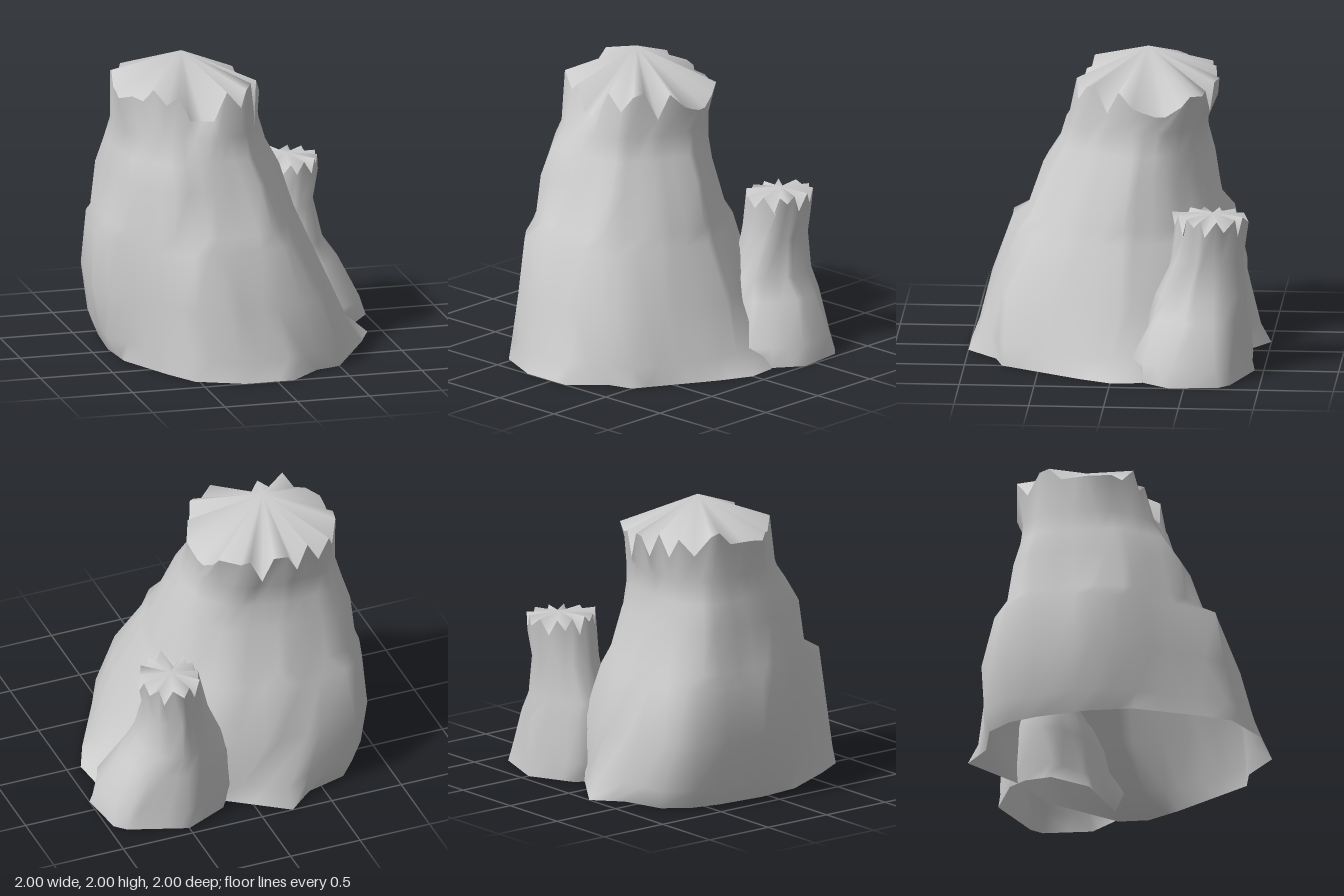
import * as THREE from 'three';

const stone = new THREE.MeshStandardMaterial({ color: 0xcccccc, side: THREE.DoubleSide });
stone.name = 'stone grey';

// Tall rock outlines seen from above, as x, z corners from +x round through +z
const base = [.9, 0, .8, .22, .5, .75, .33, .8, .12, 1, -.22, 1, -.53, .86, -.66, .64, -.85, .25, -.88, -.05,
  -.85, -.4, -.8, -.6, -.68, -.76, -.4, -.84, -.22, -1, .15, -.74, .5, -.6, .88, -.2];
const skirt = [.75, 0, .71, .25, .49, .74, .32, .79, .1, .93, -.24, .95, -.53, .83, -.68, .58, -.93, .1, -.92, -.3,
  -.87, -.6, -.73, -.79, -.4, -.84, -.22, -.93, .12, -.74, .48, -.58, .73, -.2];
const belly = [.61, -.05, .53, .35, .36, .73, .05, .82, -.3, .87, -.5, .8, -.85, .3, -1, .01, -.95, -.4,
  -.91, -.62, -.75, -.8, -.4, -.82, -.1, -.83, .2, -.7, .48, -.45];
const shoulder = [.44, -.05, .35, .3, .14, .66, -.3, .73, -.5, .74, -.62, .6, -.88, .2, -.98, -.05, -.94, -.4,
  -.88, -.6, -.71, -.72, -.3, -.74, .1, -.64, .34, -.38];
const waist = [.4, -.05, .31, .28, .08, .6, -.3, .63, -.58, .55, -.83, .25, -.9, .03, -.9, -.42, -.77, -.62,
  -.33, -.69, .06, -.6, .3, -.36];
const chest = [.31, -.08, .2, .22, .03, .46, -.3, .53, -.57, .51, -.8, .21, -.86, -.05, -.86, -.44, -.71, -.59,
  -.33, -.61, .03, -.52, .23, -.32];
const bust = [.22, -.1, .12, .16, -.02, .36, -.3, .42, -.57, .4, -.77, .16, -.81, -.08, -.81, -.41, -.67, -.55,
  -.33, -.57, .02, -.49, .16, -.32];
const neck = [.175, -.1, .08, .14, -.05, .32, -.3, .375, -.59, .29, -.75, .08, -.79, -.12, -.77, -.39, -.63, -.54,
  -.33, -.57, .02, -.49, .14, -.32];
const crown = [.18, -.1, .05, .16, -.05, .28, -.245, .31, -.635, .21, -.82, 0, -.8, -.15, -.77, -.4, -.65, -.58,
  -.33, -.645, -.03, -.55, .1, -.48, .15, -.32];

// Small rock outlines
const smallBase = [1, -.4, .87, -.22, .72, -.19, .3, -.28, .1, -.5, .12, -.68, .2, -.8, .5, -.94, .89, -.8, .96, -.73];
const smallSkirt = [.96, -.42, .87, -.22, .73, -.13, .38, -.3, .14, -.5, .1, -.69, .16, -.79, .5, -.93, .86, -.78, .94, -.7];
const smallBelly = [.83, -.5, .7, -.3, .58, -.24, .36, -.34, .18, -.5, .12, -.68, .17, -.78, .5, -.91, .72, -.82, .81, -.68];
const smallWaist = [.74, -.55, .66, -.36, .54, -.28, .36, -.38, .21, -.52, .16, -.68, .23, -.78, .52, -.89, .66, -.81, .73, -.68];
const smallNeck = [.69, -.6, .64, -.45, .5, -.38, .36, -.45, .27, -.58, .27, -.7, .35, -.8, .52, -.865, .65, -.79];
const smallCrown = [.73, -.62, .66, -.47, .48, -.385, .36, -.5, .325, -.64, .37, -.8, .52, -.9, .67, -.82, .73, -.7];

// Sample an outline at n equal angles about its middle, keeping its corners
function ring(outline, n) {
  const corners = [];
  for (let i = 0; i < outline.length; i += 2) corners.push(new THREE.Vector2(outline[i], outline[i + 1]));
  const mid = new THREE.Box2().setFromPoints(corners).getCenter(new THREE.Vector2());
  const rel = corners.map(c => c.clone().sub(mid));
  const pts = [];
  for (let i = 0; i < n; i++) {
    const a = (i / n) * Math.PI * 2;
    const dir = new THREE.Vector2(Math.cos(a), Math.sin(a));
    let reach = 0;
    rel.forEach((p, k) => {
      const q = rel[(k + 1) % rel.length], edge = q.clone().sub(p);
      const s = -dir.cross(p) / dir.cross(edge);
      if (s >= 0 && s <= 1) reach = Math.max(reach, p.clone().addScaledVector(edge, s).dot(dir));
    });
    pts.push(dir.multiplyScalar(reach).add(mid));
  }
  for (const c of corners) {
    pts.reduce((best, p) => p.distanceTo(c) < best.distanceTo(c) ? p : best).copy(c);
  }
  return pts;
}

function surface(points, index) {
  const g = new THREE.BufferGeometry().setFromPoints(points);
  g.setIndex(index);
  g.computeVertexNormals();
  return g;
}

// A rock column: smooth wall through the levels, jagged rim, pleated cap
function column(name, levels, rim, apex) {
  const n = rim.length, last = levels.length - 1;
  const points = [], index = [];
  levels.forEach(([y, outline], j) => ring(outline, n).forEach((p, i) => {
    points.push(new THREE.Vector3(p.x, j === last ? rim[i] : y, p.y));
    if (j === last) return;
    const a = j * n + i, b = j * n + (i + 1) % n;
    index.push(a, a + n, b, b, a + n, b + n);
  }));
  const wall = new THREE.Mesh(surface(points, index), stone);
  wall.name = name + 'Wall';

  // Cap fan from the apex down to every rim tooth
  const fan = [...points.slice(-n), new THREE.Vector3(...apex)];
  const fanIndex = rim.flatMap((_, i) => [n, (i + 1) % n, i]);
  const cap = new THREE.Mesh(surface(fan, fanIndex), stone);
  cap.name = name + 'Cap';

  const group = new THREE.Group();
  group.name = name;
  group.add(wall, cap);
  return group;
}

export function createModel() {
  const model = new THREE.Group();
  model.name = 'rockFormation';

  // Levels: height and outline; the last height comes from the rim
  const tall = [[0, base], [.13, skirt], [.45, belly], [.82, shoulder], [.91, waist],
    [1.2, chest], [1.37, bust], [1.52, neck], [1.75, crown]];
  const tallRim = [
    1.67, 1.7, 1.8, 1.63, 1.83, 1.8, 1.7, 1.82, 1.63, 1.63, 1.63, 1.8,
    1.74, 1.85, 1.76, 1.78, 1.75, 1.76, 1.76, 1.76, 1.85, 1.83, 1.7, 1.82,
    1.68, 1.83, 1.66, 1.79, 1.78, 1.6, 1.76, 1.74, 1.77, 1.7, 1.64, 1.64,
  ];
  model.add(column('tallRock', tall, tallRim, [-.34, 2, -.17]));

  const small = [[0, smallBase], [.13, smallSkirt], [.4, smallBelly], [.53, smallWaist],
    [.78, smallNeck], [1.04, smallCrown]];
  const smallRim = Array.from({ length: 24 }, (_, i) => i % 2 ? 1.08 : [.97, 1.03, .96, 1][(i / 2) % 4]);
  model.add(column('smallRock', small, smallRim, [.52, 1.09, -.66]));
  return model;
}
